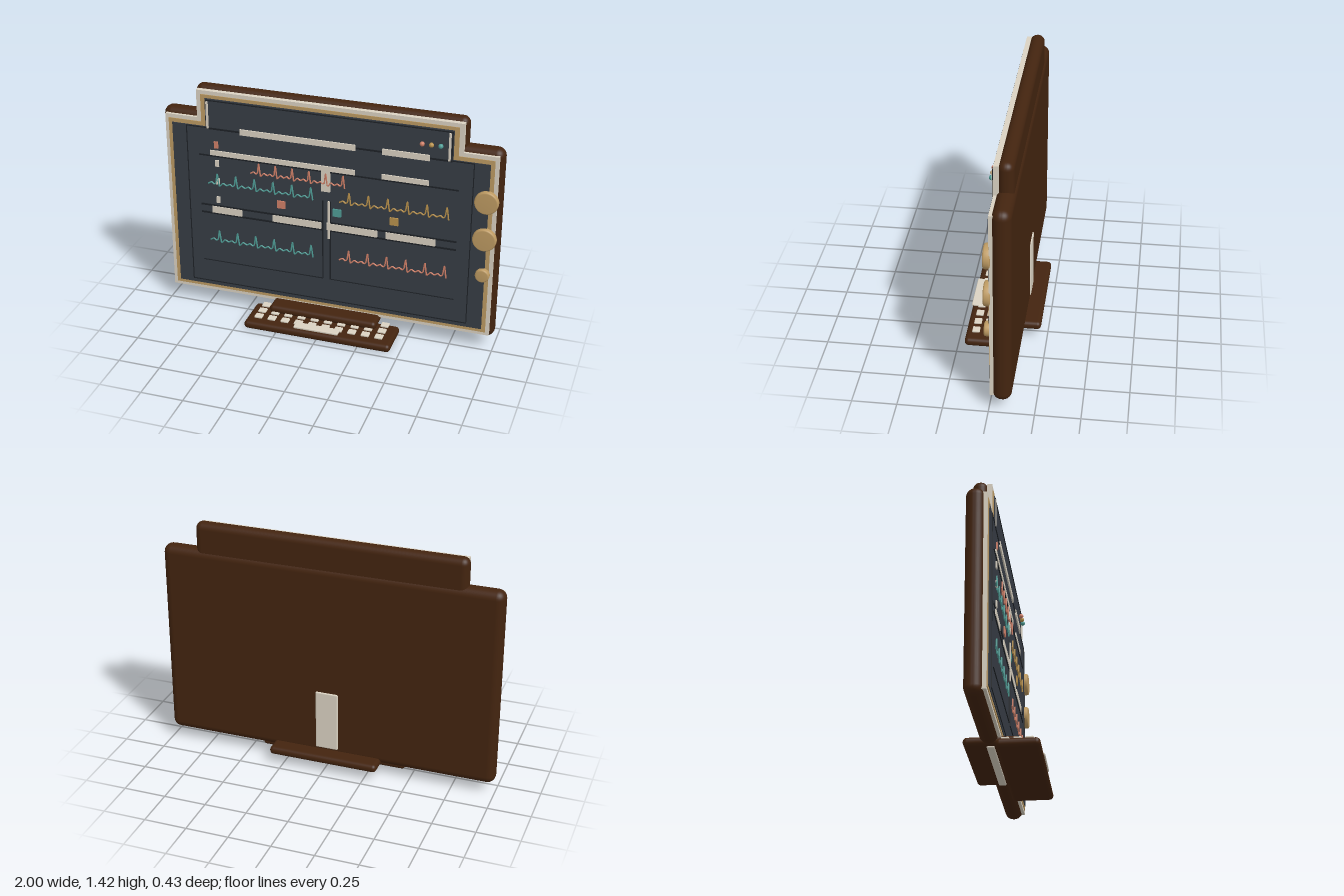
import * as THREE from 'three';
import { RoundedBoxGeometry } from 'three/addons/geometries/RoundedBoxGeometry.js';

const material = (name, color) => Object.assign(new THREE.MeshStandardMaterial({ color }), { name });

export function createModel() {
  const model = new THREE.Group();
  model.name = 'monitorConsole';

  const wood = material('dark wood', 0x43240f);
  const cream = material('cream', 0xdad2c2);
  const tan = material('tan', 0xbd9a62);
  const slate = material('screen slate', 0x373d45);
  const line = material('screen line', 0x1d2126);
  const teal = material('teal', 0x4f9d96);
  const salmon = material('salmon', 0xd08068);
  const gold = material('gold', 0xb8914c);

  const add = (name, geometry, mat, x = 0, y = 0, z = 0, parent = model) => {
    const mesh = new THREE.Mesh(geometry, mat);
    mesh.name = name;
    mesh.position.set(x, y, z);
    parent.add(mesh);
    return mesh;
  };
  const group = (name) => {
    const g = new THREE.Group();
    g.name = name;
    model.add(g);
    return g;
  };
  // Rounded box given by its extents
  const slab = (name, mat, x0, x1, y0, y1, z0, z1, r, parent) =>
    add(name, new RoundedBoxGeometry(x1 - x0, y1 - y0, z1 - z0, 4, r), mat,
      (x0 + x1) / 2, (y0 + y1) / 2, (z0 + z1) / 2, parent);
  // Thin plate on the screen, given by its extents and front depth
  const plate = (name, mat, x0, x1, y0, y1, z, parent) =>
    add(name, new THREE.BoxGeometry(x1 - x0, y1 - y0, 0.008), mat,
      (x0 + x1) / 2, (y0 + y1) / 2, z - 0.004, parent);

  // Casing: main body and raised header
  slab('casing', wood, -1, 1, 0.07, 1.26, -0.123, -0.02, 0.048);
  slab('headerCasing', wood, -0.795, 0.795, 1.0, 1.42, -0.113, -0.03, 0.04);

  // Stepped outline shared by the bezels and the screen
  const outline = (w, u, b, t, top) => [
    [-w, b], [w, b], [w, t], [u, t], [u, top], [-u, top], [-u, t], [-w, t],
  ].map(([x, y]) => new THREE.Vector2(x, y));
  const outer = outline(0.976, 0.778, 0.1, 1.23, 1.4);
  const middle = outline(0.955, 0.752, 0.12, 1.207, 1.377);
  const inner = outline(0.932, 0.725, 0.14, 1.183, 1.357);
  const layer = (name, mat, points, hole, back, front) => {
    const shape = new THREE.Shape(points);
    if (hole) shape.holes.push(new THREE.Path(hole));
    add(name, new THREE.ExtrudeGeometry(shape, { depth: front - back, bevelEnabled: false }), mat, 0, 0, back);
  };
  layer('creamBezel', cream, outer, middle, -0.035, -0.006);
  layer('tanBezel', tan, middle, inner, -0.035, -0.002);
  layer('screen', slate, inner, null, -0.035, 0.002);

  // Thin dark frames that divide the screen
  const frames = group('screenFrames');
  const frame = (x0, x1, y0, y1, t) => {
    plate('frameBottom', line, x0, x1, y0, y0 + t, 0.006, frames);
    plate('frameTop', line, x0, x1, y1 - t, y1, 0.006, frames);
    plate('frameLeft', line, x0, x0 + t, y0, y1, 0.006, frames);
    plate('frameRight', line, x1 - t, x1, y0, y1, 0.006, frames);
  };
  frame(-0.845, 0.845, 0.163, 1.18, 0.005);
  frame(-0.72, 0.72, 1.17, 1.35, 0.006);
  for (const [x0, x1] of [[-0.77, -0.02], [0.025, 0.765]]) {
    plate('lowerRule', line, x0, x1, 0.627, 0.637, 0.007, frames);
    plate('middleRule', line, x0, x1, 0.678, 0.688, 0.007, frames);
    plate('upperRule', line, x0, x1, 1.0, 1.008, 0.007, frames);
    plate('bottomRule', line, x0, x1, 0.308, 0.312, 0.007, frames);
  }
  for (const x of [-0.02, 0.025]) plate('centreRule', line, x - 0.003, x + 0.003, 0.31, 0.82, 0.007, frames);

  // Cream label bars and markers
  const bars = group('labelBars');
  for (const [x0, x1, y0, y1] of [
    [-0.515, 0.17, 1.16, 1.195], [0.325, 0.595, 1.16, 1.195],
    [-0.7, 0.17, 1.01, 1.04], [0.325, 0.595, 1.01, 1.04],
    [-0.7, -0.515, 0.637, 0.68], [-0.325, -0.03, 0.637, 0.68],
    [0.003, 0.305, 0.637, 0.68], [0.355, 0.645, 0.637, 0.68],
    [-0.03, 0.024, 0.88, 1.01], [0.011, 0.023, 0.58, 0.82],
    [-0.717, -0.705, 1.175, 1.34], [0.698, 0.71, 1.175, 1.34],
    [-0.672, -0.65, 0.94, 0.98], [-0.672, -0.65, 0.825, 0.865], [-0.672, -0.65, 0.705, 0.745],
  ]) plate('labelBar', cream, x0, x1, y0, y1, 0.01, bars);
  plate('sideMarker', salmon, -0.674, -0.65, 1.057, 1.098, 0.012, bars);

  // Coloured squares and indicator lamps
  [[salmon, -0.297], [teal, 0.04], [gold, 0.377]].forEach(([mat, x]) =>
    plate('colourSquare', mat, x, x + 0.05, 0.73, 0.777, 0.01));
  [salmon, gold, teal].forEach((mat, i) =>
    add('indicatorLamp', new THREE.SphereGeometry(0.014, 16, 12), mat, 0.552 + i * 0.052, 1.262, 0.018));

  // Pulse traces: repeated beats along a thin tube
  const beat = [[0, 0], [0.18, 0.012], [0.32, 0], [0.42, 0.01], [0.5, 0.068], [0.6, -0.01], [0.8, 0.012]];
  const trace = (mat, x0, x1, y) => {
    const pitch = (x1 - x0) / 5.6;
    const points = [];
    for (let i = 0; i < 6; i++)
      for (const [u, v] of beat)
        if (i + u <= 5.6) points.push(new THREE.Vector3(x0 + (i + u) * pitch, y + v, 0.008));
    const curve = new THREE.CatmullRomCurve3(points, false, 'catmullrom', 0.2);
    add('pulseTrace', new THREE.TubeGeometry(curve, 240, 0.0045, 6), mat);
  };
  trace(salmon, -0.455, 0.11, 0.928);
  trace(teal, -0.72, -0.08, 0.825);
  trace(gold, 0.08, 0.715, 0.825);
  trace(teal, -0.72, -0.08, 0.452);
  trace(salmon, 0.08, 0.715, 0.452);

  // Control knobs with softened rims
  for (const [y, r] of [[0.957, 0.068], [0.727, 0.068], [0.5, 0.041]]) {
    const c = 0.009;
    const profile = [[0, -0.02], [r - c, -0.02], [r - c * 0.3, -0.017], [r, -0.01],
      [r, 0.01], [r - c * 0.3, 0.017], [r - c, 0.02], [0, 0.02]].map(([a, b]) => new THREE.Vector2(a, b));
    add('knob', new THREE.LatheGeometry(profile, 40), tan, 0.922, y, 0.007).rotation.x = Math.PI / 2;
  }

  // Back plate, foot and the strip beneath it
  slab('backPlate', cream, -0.068, 0.068, 0.12, 0.485, -0.13, -0.112, 0.008);
  slab('foot', wood, -0.328, 0.328, 0.063, 0.112, -0.215, 0.094, 0.023);
  slab('footStrip', cream, -0.3, 0.3, 0.052, 0.07, -0.088, -0.045, 0.008);

  // Keyboard with three rows of keys and a space bar
  slab('keyboardCase', wood, -0.447, 0.447, 0.003, 0.052, -0.025, 0.213, 0.023);
  const keys = group('keys');
  for (const z of [0.022, 0.088, 0.153])
    for (let i = 0; i < 10; i++) {
      const x = (i - 4.5) * 0.082;
      slab('key', cream, x - 0.024, x + 0.024, 0.064, 0.077, z - 0.022, z + 0.022, 0.005, keys);
    }
  slab('spaceBar', cream, -0.135, 0.135, 0.064, 0.078, 0.157, 0.213, 0.005, keys);

  return model;
}
